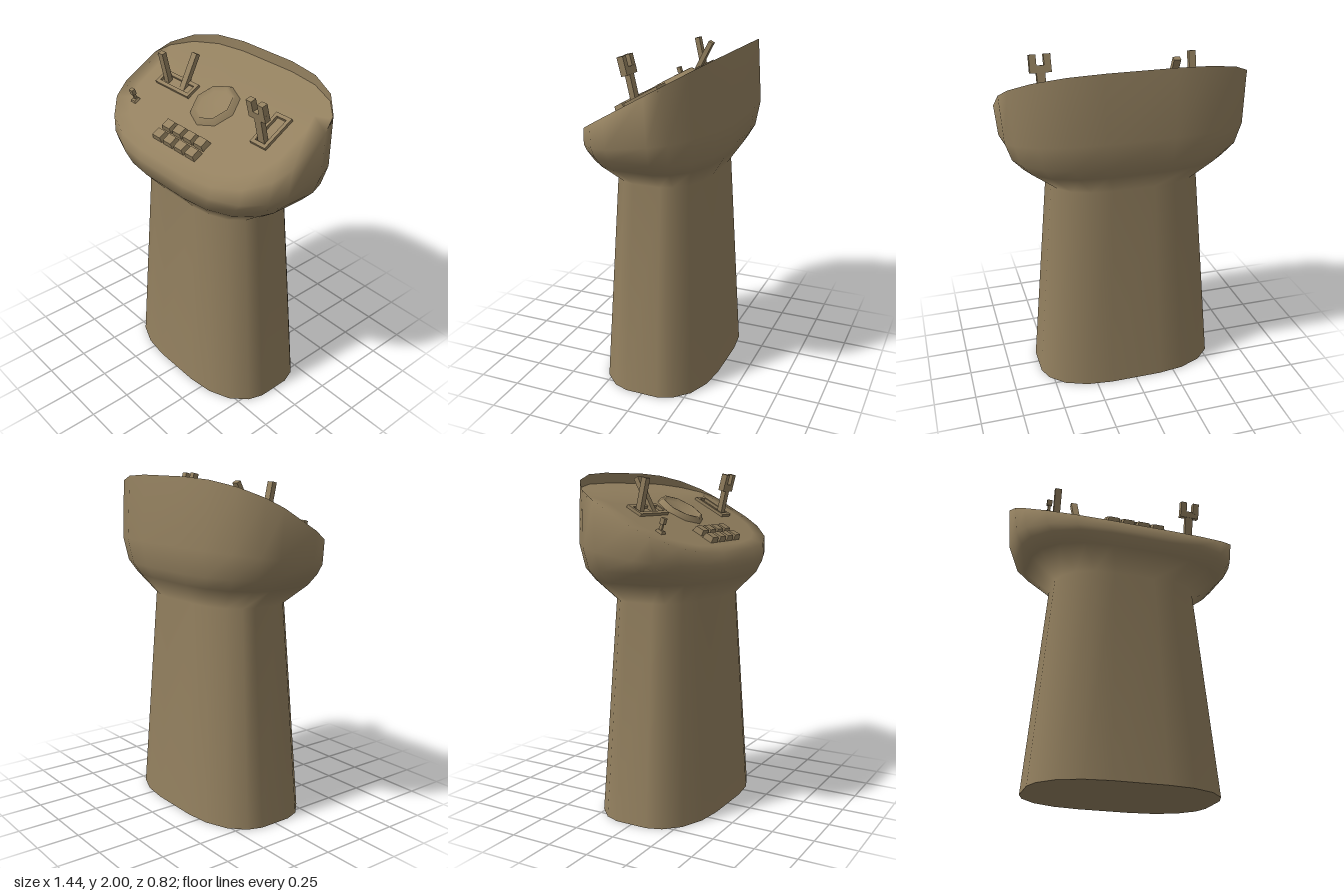
import * as THREE from 'three';
import { mergeVertices } from 'three/addons/utils/BufferGeometryUtils.js';

const bronze = new THREE.MeshStandardMaterial({ color: 0x93805f });
bronze.name = 'bronze';

const SLOPE = 0.564;
const TILT = Math.atan(SLOPE);
const rimY = z => 1.786 - SLOPE * z;
// the panel flattens towards the back, leaving a small lip there
const panelY = z => (z < -0.12 ? 1.854 + 0.33 * (-0.12 - z) : rimY(z));

// unit outline, counted from +x through +z
const quarter = [[1, 0.29], [0.945, 0.54], [0.79, 0.79], [0.555, 0.945], [0.28, 1]];
const back = a => [...a].reverse();
const outline = [
  ...quarter,
  ...back(quarter).map(([x, z]) => [-x, z]),
  ...quarter.map(([x, z]) => [-x, -z]),
  ...back(quarter).map(([x, z]) => [x, -z]),
];

function ring(sx, front, rear, height) {
  return outline.map(([x, z]) => {
    const pz = z > 0 ? z * front : z * rear;
    return [x * sx, typeof height === 'function' ? height(pz) : height, pz];
  });
}

// pairs of rings become one smooth indexed surface
function loft(pairs) {
  const pos = [];
  for (const [lo, hi] of pairs) {
    for (let i = 0; i < lo.length; i++) {
      const j = (i + 1) % lo.length;
      pos.push(...lo[i], ...hi[i], ...lo[j], ...lo[j], ...hi[i], ...hi[j]);
    }
  }
  let g = new THREE.BufferGeometry();
  g.setAttribute('position', new THREE.Float32BufferAttribute(pos, 3));
  g = mergeVertices(g, 1e-4);
  g.computeVertexNormals();
  return g;
}

const chain = rings => rings.slice(1).map((r, i) => [rings[i], r]);

function add(parent, name, geometry) {
  const mesh = new THREE.Mesh(geometry, bronze);
  mesh.name = name;
  parent.add(mesh);
  return mesh;
}

// straight bar in the y-z plane between two points
function bar(parent, name, x, [z0, y0], [z1, y1], width, depth) {
  const m = add(parent, name, new THREE.BoxGeometry(width, Math.hypot(z1 - z0, y1 - y0), depth));
  m.position.set(x, (y0 + y1) / 2, (z0 + z1) / 2);
  m.rotation.x = Math.atan2(z1 - z0, y1 - y0);
  return m;
}

// box whose top is narrower than its base
function taperedBox(w, h, d, k) {
  const g = new THREE.BoxGeometry(w, h, d);
  const p = g.attributes.position;
  for (let i = 0; i < p.count; i++) {
    if (p.getY(i) > 0) p.setXYZ(i, p.getX(i) * k, p.getY(i), p.getZ(i) * k);
  }
  g.translate(0, h / 2, 0);
  g.computeVertexNormals();
  return g;
}

// rectangular collar lying on the panel
function frame(w, d, t, h) {
  const rect = (C, a, b) => new C([[-a, -b], [a, -b], [a, b], [-a, b]].map(([x, y]) => new THREE.Vector2(x, y)));
  const s = rect(THREE.Shape, w / 2, d / 2);
  s.holes.push(rect(THREE.Path, w / 2 - t, d / 2 - t));
  return new THREE.ExtrudeGeometry(s, { depth: h, bevelEnabled: false }).rotateX(-Math.PI / 2);
}

export function createModel() {
  const model = new THREE.Group();
  model.name = 'controlConsole';

  // pedestal, flared head and sloping panel
  const base = ring(0.56, 0.35, 0.34, 0);
  const rim = ring(0.72, 0.4, 0.382, rimY);
  const wall = [
    base,
    ring(0.445, 0.28, 0.27, 1.28),
    ring(0.6, 0.385, 0.35, 1.4),
    ring(0.665, 0.41, 0.388, 1.47),
    ring(0.702, 0.411, 0.412, z => 1.56 - 0.15 * z),
    rim,
  ];
  const panel = [1, 0.85, 0.6, 0.3, 0].map(k => ring(0.72 * k, 0.4 * k, 0.382 * k, panelY));
  add(model, 'consoleBody', loft([...chain(wall), ...chain(panel)]));
  add(model, 'rearLip', loft([[rim, panel[0]]]));
  add(model, 'underside', loft([[ring(0, 0, 0, 0), base]]));

  // fittings that lie on the slope
  const deck = new THREE.Group();
  deck.name = 'panelFittings';
  deck.position.y = 1.786;
  deck.rotation.x = TILT;
  model.add(deck);

  // push buttons in two rows
  for (let row = 0; row < 2; row++) {
    for (let col = 0; col < 4; col++) {
      const b = add(deck, 'button', taperedBox(0.08, 0.032, 0.064, 0.82));
      b.position.set((col - 1.5) * (row ? 0.096 : 0.093), 0, 0.254 + row * 0.075);
    }
  }

  // octagonal dish
  const profile = [[0.155, -0.005], [0.132, 0.028], [0.12, 0.03], [0.105, 0.012], [0, 0.005]];
  const dish = new THREE.LatheGeometry(profile.map(([x, y]) => new THREE.Vector2(x, y)), 8);
  add(deck, 'octagonalDish', dish).position.z = 0.015;

  // lever collars
  add(deck, 'leverCollar', frame(0.3, 0.1, 0.022, 0.02)).position.set(-0.35, -0.003, 0);
  add(deck, 'forkCollar', frame(0.115, 0.22, 0.022, 0.02)).position.set(0.445, -0.003, 0.0);

  // twin levers
  bar(model, 'lever', -0.437, [-0.005, 1.76], [0.043, 1.97], 0.042, 0.03);
  bar(model, 'lever', -0.298, [0.01, 1.76], [-0.098, 1.97], 0.042, 0.028);

  // forked lever
  const fork = new THREE.Group();
  fork.name = 'forkedLever';
  model.add(fork);
  bar(fork, 'forkStem', 0.445, [0.055, 1.73], [0.098, 1.92], 0.05, 0.03);
  bar(fork, 'forkBridge', 0.445, [0.092, 1.895], [0.102, 1.935], 0.125, 0.036);
  for (const s of [-1, 1]) bar(fork, 'forkProng', 0.445 + s * 0.042, [0.1, 1.925], [0.118, 1.995], 0.04, 0.036);

  // small toggle switch
  bar(model, 'toggleStem', -0.525, [0.175, 1.66], [0.2, 1.735], 0.016, 0.016);
  bar(model, 'toggleTip', -0.525, [0.198, 1.725], [0.209, 1.758], 0.03, 0.024);
  add(deck, 'toggleBase', taperedBox(0.045, 0.014, 0.045, 0.7)).position.set(-0.525, 0, 0.212);

  return model;
}
